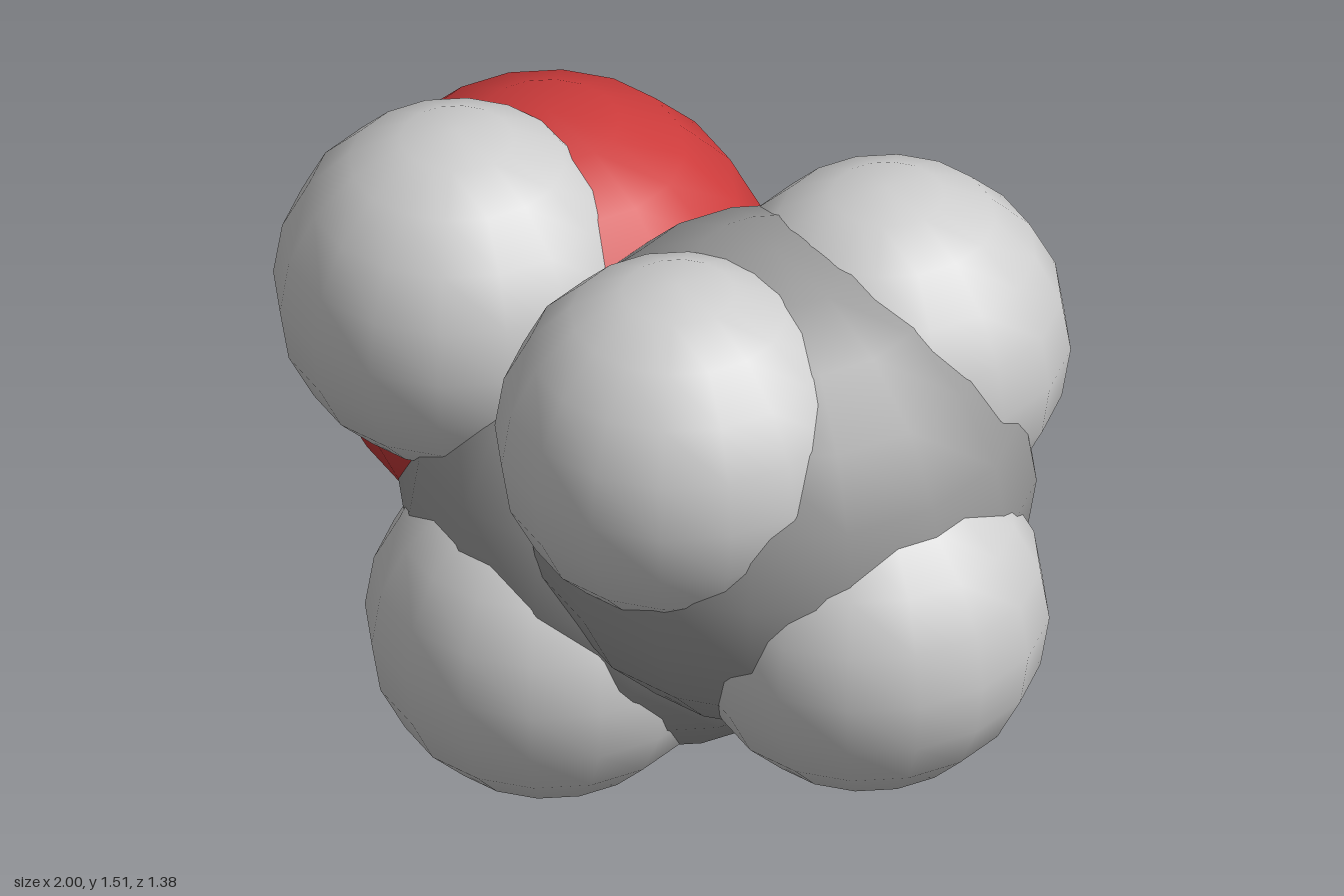
import * as THREE from 'three';

// Space-filling molecule: overlapping smooth-shaded spheres.
export function createModel() {
  const group = new THREE.Group();
  group.name = 'molecule';

  const makeMaterial = (name, color) => {
    const material = new THREE.MeshStandardMaterial({ color });
    material.name = name;
    return material;
  };

  // One sphere size and colour per kind of atom
  const makeKind = (radius, material) => ({
    geometry: new THREE.SphereGeometry(radius, 16, 10),
    material,
  });
  const carbon = makeKind(0.567, makeMaterial('mid grey', 0x9a9a9a));
  const oxygen = makeKind(0.507, makeMaterial('red', 0xcc3b3b));
  const hydrogen = makeKind(0.4, makeMaterial('light grey', 0xcecece));

  const addAtom = (name, kind, x, y, z = 0) => {
    const atom = new THREE.Mesh(kind.geometry, kind.material);
    atom.name = name;
    atom.position.set(x, y, z);
    group.add(atom);
  };

  // Backbone
  addAtom('oxygen', oxygen, -0.493, 0.9);
  addAtom('lowerCarbon', carbon, -0.12, 0.62);
  addAtom('upperCarbon', carbon, 0.288, 0.894);

  // Hydrogens on the middle plane and on the oxygen
  addAtom('endHydrogen', hydrogen, 0.595, 0.685);
  addAtom('oxygenHydrogen', hydrogen, -0.48, 1.08, 0.267);

  // Mirrored front and back hydrogens
  for (const [side, sign] of [['front', 1], ['back', -1]]) {
    addAtom(side + 'LowerHydrogen', hydrogen, -0.135, 0.4, sign * 0.292);
    addAtom(side + 'UpperHydrogen', hydrogen, 0.31, 1.112, sign * 0.292);
  }

  return group;
}
